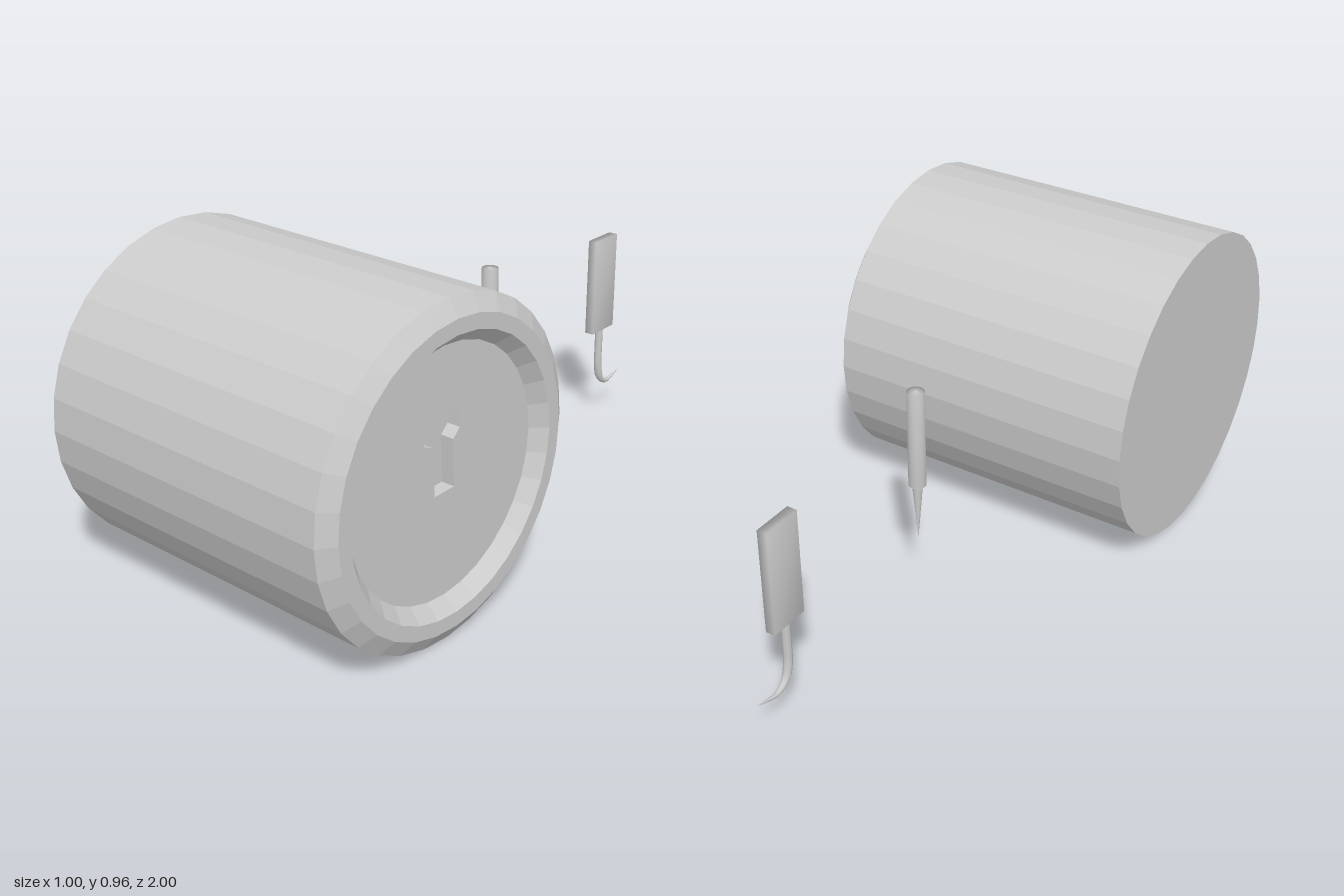
import * as THREE from 'three';
import { mergeVertices } from 'three/addons/utils/BufferGeometryUtils.js';

const flat = new THREE.MeshStandardMaterial({ color: 0xcccccc, flatShading: true });
const smooth = new THREE.MeshStandardMaterial({ color: 0xcccccc });
const SIDES = 32;
const v2 = (x, y) => new THREE.Vector2(x, y);

function add(parent, name, geometry, material) {
  const mesh = new THREE.Mesh(geometry, material);
  mesh.name = name;
  parent.add(mesh);
  return mesh;
}

// Lock cylinder lying along x, keyhole towards +x
function createLock() {
  const lock = new THREE.Group();
  lock.name = 'lockCylinder';
  lock.position.set(0, 0.483, 0.52);

  // Body with chamfered rim and sloping recess wall: (radius, x)
  const profile = [[0, -0.5], [0.48, -0.5], [0.48, 0.465], [0.432, 0.497], [0.389, 0.497], [0.352, 0.455]];
  const body = new THREE.LatheGeometry(profile.map(p => v2(...p)), SIDES);
  body.rotateZ(-Math.PI / 2);
  add(lock, 'body', body, flat);

  // Face plate with keyhole; shape x runs along -z
  const plate = new THREE.Shape();
  for (let i = 0; i < SIDES; i++) {
    const a = (i / SIDES) * Math.PI * 2;
    const x = 0.352 * Math.cos(a), y = 0.352 * Math.sin(a);
    if (i) plate.lineTo(x, y); else plate.moveTo(x, y);
  }
  plate.closePath();
  const keyhole = [
    [-0.04, -0.05], [-0.04, 0.088], [-0.078, 0.105], [-0.084, 0.155], [-0.055, 0.193], [-0.015, 0.205],
    [0.032, 0.192], [0.062, 0.174], [0.06, 0.11], [0.034, 0.086], [0.038, -0.05],
  ].map(p => v2(...p));
  plate.holes.push(new THREE.Path(keyhole));
  const depth = 0.04;
  const face = new THREE.ExtrudeGeometry(plate, { depth, bevelEnabled: false });
  face.rotateY(Math.PI / 2);
  add(lock, 'facePlate', face, flat).position.x = 0.455 - depth;

  // Floor of the keyhole
  const floor = new THREE.ShapeGeometry(new THREE.Shape(keyhole));
  floor.rotateY(Math.PI / 2);
  add(lock, 'keyholeFloor', floor, flat).position.x = 0.455 - depth;
  return lock;
}

// Round-handled straight pick
function createStraightPick() {
  const pick = new THREE.Group();
  pick.name = 'straightPick';
  pick.position.set(-0.018, 0, -0.262);
  const handle = [[0, 0.4], [0.026, 0.4], [0.026, 0.71], [0, 0.71]];
  const spike = [[0, 0.21], [0.016, 0.4]];
  add(pick, 'pickHandle', new THREE.LatheGeometry(handle.map(p => v2(...p)), 16), smooth);
  add(pick, 'pickSpike', new THREE.LatheGeometry(spike.map(p => v2(...p)), 12), smooth);
  return pick;
}

// Flat-handled hook
function createHookPick() {
  const pick = new THREE.Group();
  pick.name = 'hookPick';
  pick.position.x = -0.017;

  // Flat handle with shared, softened corners
  let box = new THREE.BoxGeometry(0.03, 0.325, 0.12);
  box.deleteAttribute('normal');
  box.deleteAttribute('uv');
  box = mergeVertices(box);
  box.computeVertexNormals();
  add(pick, 'hookHandle', box, smooth).position.set(0, 0.4875, -0.867);

  // Wire: a tube tapered towards its tip
  const path = new THREE.CatmullRomCurve3(
    [[0.33, -0.868], [0.25, -0.868], [0.185, -0.87], [0.138, -0.885], [0.115, -0.92], [0.122, -0.96], [0.134, -1]]
      .map(([y, z]) => new THREE.Vector3(0, y, z)));
  const steps = 18, sides = 8;
  const wire = new THREE.TubeGeometry(path, steps, 0.013, sides);
  const pos = wire.attributes.position;
  const p = new THREE.Vector3();
  for (let i = 0; i <= steps; i++) {
    const t = i / steps;
    const centre = path.getPointAt(t);
    const scale = t < 0.55 ? 1 : 1 - 0.95 * (t - 0.55) / 0.45;
    for (let j = 0; j <= sides; j++) {
      const k = i * (sides + 1) + j;
      p.fromBufferAttribute(pos, k).sub(centre).multiplyScalar(scale).add(centre);
      pos.setXYZ(k, p.x, p.y, p.z);
    }
  }
  add(pick, 'hookWire', wire, smooth);
  return pick;
}

export function createModel() {
  const model = new THREE.Group();
  model.name = 'lockAndPicks';
  model.add(createLock(), createStraightPick(), createHookPick());
  return model;
}
